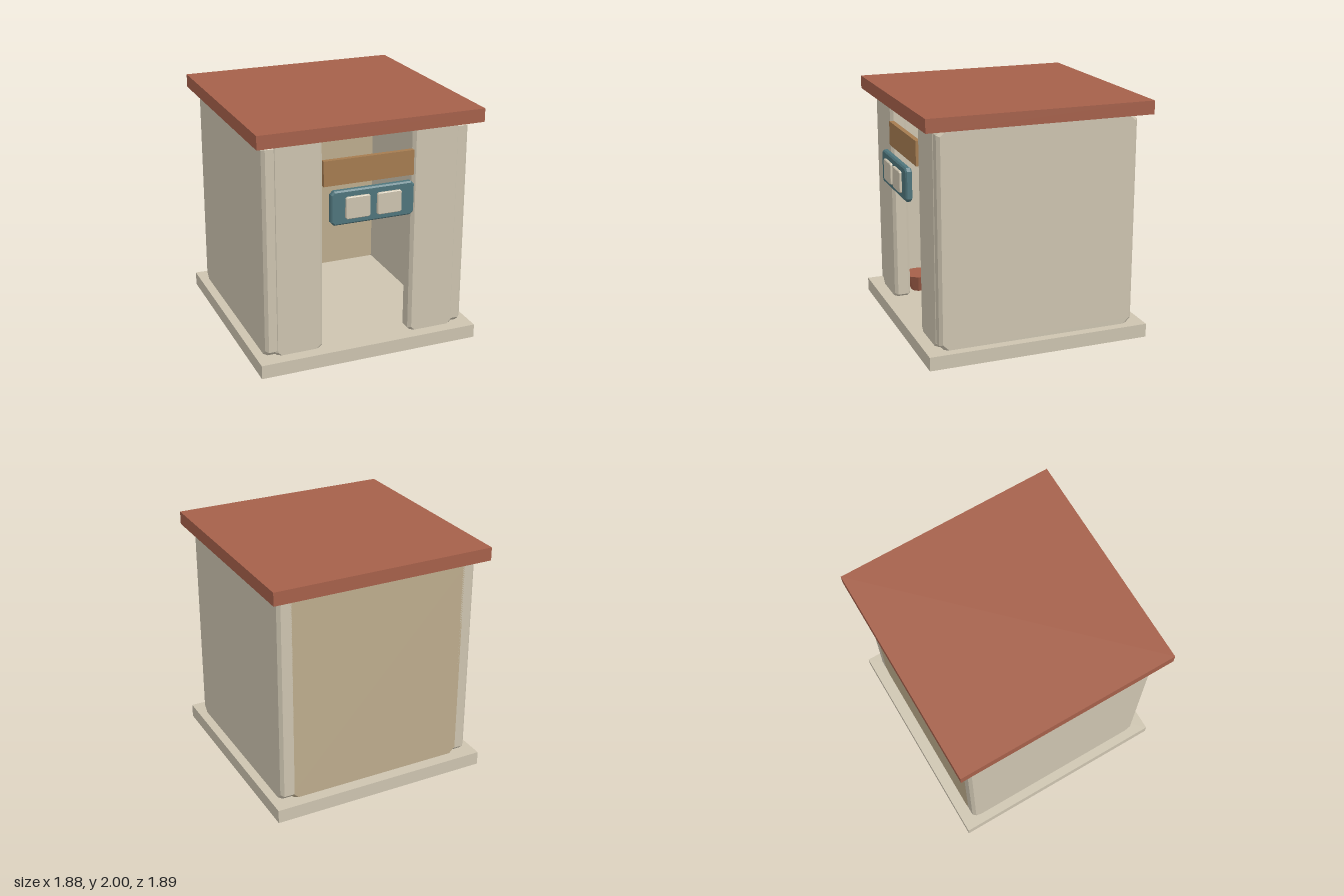
import * as THREE from 'three';

const mat = (color) => new THREE.MeshStandardMaterial({ color, flatShading: true });

export function createModel() {
  const group = new THREE.Group();
  group.name = 'booth';
  const cream = mat(0xcdc4b0), tan = mat(0xbdac8d), roofRed = mat(0xa5604a);
  const wood = mat(0xa57c50), teal = mat(0x4f757c), clay = mat(0xa5604a);

  const add = (name, geometry, material, x, y, z) => {
    const mesh = new THREE.Mesh(geometry, material);
    mesh.name = name;
    mesh.position.set(x, y, z);
    group.add(mesh);
    return mesh;
  };

  // Slab with cut corners and a single chamfer round both faces, centred at the origin
  const panel = (w, h, d, cut, bevel) => {
    const a = w / 2 - bevel, b = h / 2 - bevel;
    const shape = new THREE.Shape([
      [-a + cut, -b], [a - cut, -b], [a, -b + cut], [a, b - cut],
      [a - cut, b], [-a + cut, b], [-a, b - cut], [-a, -b + cut],
    ].map(([x, y]) => new THREE.Vector2(x, y)));
    const g = new THREE.ExtrudeGeometry(shape, {
      depth: d - 2 * bevel, bevelEnabled: true, bevelSegments: 1,
      bevelSize: bevel, bevelThickness: bevel,
    });
    return g.translate(0, 0, bevel - d / 2);
  };

  // Floor and roof slabs
  add('floor', new THREE.BoxGeometry(1.88, 0.115, 1.88), cream, 0, 0.0575, 0);
  add('roof', new THREE.BoxGeometry(1.88, 0.11, 1.88), roofRed, 0, 1.945, 0);

  // Walls, their ends tucked into floor and roof
  const wallH = 1.82, midY = 1;
  for (const s of [-1, 1]) {
    const side = s > 0 ? 'left' : 'right';
    add(side + 'Wall', panel(1.67, wallH, 0.14, 0.05, 0.025), cream, s * 0.795, midY, -0.005)
      .rotation.y = Math.PI / 2;
    add(side + 'FrontPanel', panel(0.41, wallH, 0.14, 0.03, 0.025), cream, s * 0.585, midY, 0.765);
  }
  add('backWall', panel(1.58, wallH, 0.14, 0.05, 0.025), tan, 0, midY, -0.77);

  // Board across the doorway
  add('doorBoard', new THREE.BoxGeometry(0.76, 0.205, 0.04), wood, 0, 1.6, 0.83);

  // Hanging plate with two raised panes
  add('signPlate', panel(0.7, 0.28, 0.055, 0.02, 0.012), teal, 0, 1.337, 0.9);
  for (const s of [-1, 1]) {
    add('signPane', panel(0.205, 0.18, 0.03, 0.008, 0.006), cream, s * 0.132, 1.335, 0.933);
  }

  // Tapered pot standing just inside the doorway
  add('pot', new THREE.CylinderGeometry(0.13, 0.07, 0.15, 10), clay, -0.52, 0.19, 0.58);

  return group;
}
